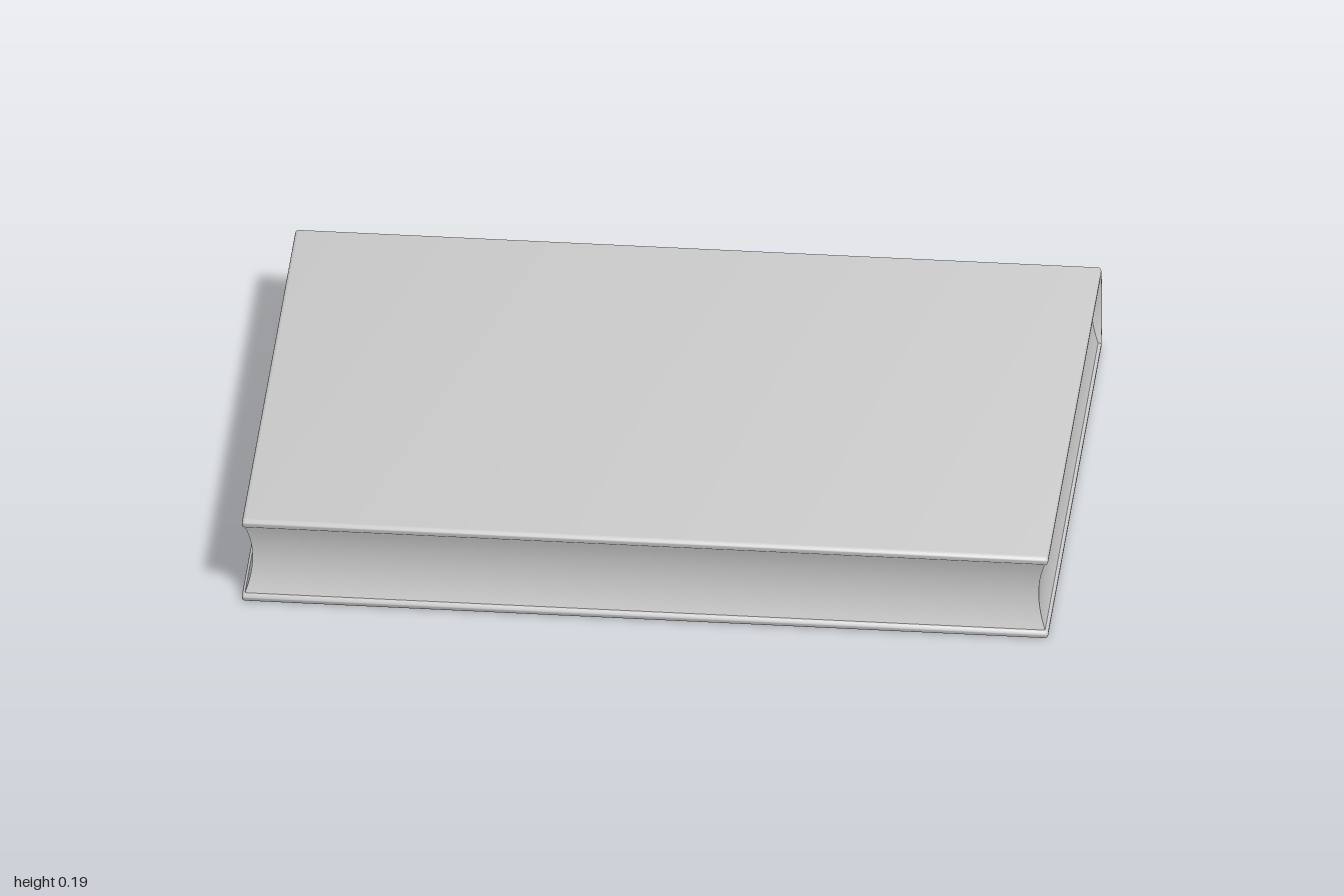
import * as THREE from 'three';
import { toCreasedNormals } from 'three/addons/utils/BufferGeometryUtils.js';

const W = 1.175;  // fore edge to spine
const L = 1.615;  // along the spine
const H = 0.187;  // overall thickness
const T = 0.018;  // cover board thickness
const BULGE = 0.018;
const R = 0.009;  // rounding of the board edges
const BEVEL = 0.006;

// C-shaped wrap: two boards joined by a bulging spine
function coverGeometry() {
  const x = W / 2, s = x - BULGE;
  const p = new THREE.Shape();
  p.moveTo(-x + R, 0);
  p.lineTo(s, 0);
  p.bezierCurveTo(x + BULGE / 3, H * 0.2, x + BULGE / 3, H * 0.8, s, H);
  p.lineTo(-x + R, H);
  p.quadraticCurveTo(-x, H, -x, H - T / 2);
  p.quadraticCurveTo(-x, H - T, -x + R, H - T);
  p.lineTo(s - T / 2, H - T);
  p.quadraticCurveTo(s - T / 2 + BULGE, H / 2, s - T / 2, T);
  p.lineTo(-x + R, T);
  p.quadraticCurveTo(-x, T, -x, T / 2);
  p.quadraticCurveTo(-x, 0, -x + R, 0);
  const g = new THREE.ExtrudeGeometry(p, {
    depth: L - 2 * BEVEL, curveSegments: 10,
    bevelSize: BEVEL, bevelThickness: BEVEL, bevelOffset: -BEVEL, bevelSegments: 3,
  });
  g.translate(0, 0, -L / 2 + BEVEL);
  return toCreasedNormals(g, 0.7);
}

// Page block, hollowed on the three open sides
function pagesGeometry() {
  const h = H - 2 * T;
  const g = new THREE.BoxGeometry(W, h, L, 1, 16, 1);
  const pos = g.attributes.position;
  for (let i = 0; i < pos.count; i++) {
    const k = 1 - (2 * pos.getY(i) / h) ** 2;
    const inset = 0.006 + 0.014 * k;
    const spineInset = BULGE + T / 2 - 0.009 * k - 0.001;
    pos.setX(i, pos.getX(i) < 0 ? -W / 2 + inset : W / 2 - spineInset);
    pos.setZ(i, Math.sign(pos.getZ(i)) * (L / 2 - inset));
  }
  g.translate(0, H / 2, 0);
  g.computeVertexNormals();
  return g;
}

export function createModel() {
  const material = new THREE.MeshStandardMaterial({ color: 0xcccccc });
  const book = new THREE.Group();
  book.name = 'book';
  const add = (name, geometry) => {
    const mesh = new THREE.Mesh(geometry, material);
    mesh.name = name;
    book.add(mesh);
  };
  add('cover', coverGeometry());
  add('pages', pagesGeometry());

  // The book lies turned on the ground
  book.rotation.y = Math.atan2(0.568, 0.823);
  const model = new THREE.Group();
  model.add(book);
  return model;
}
